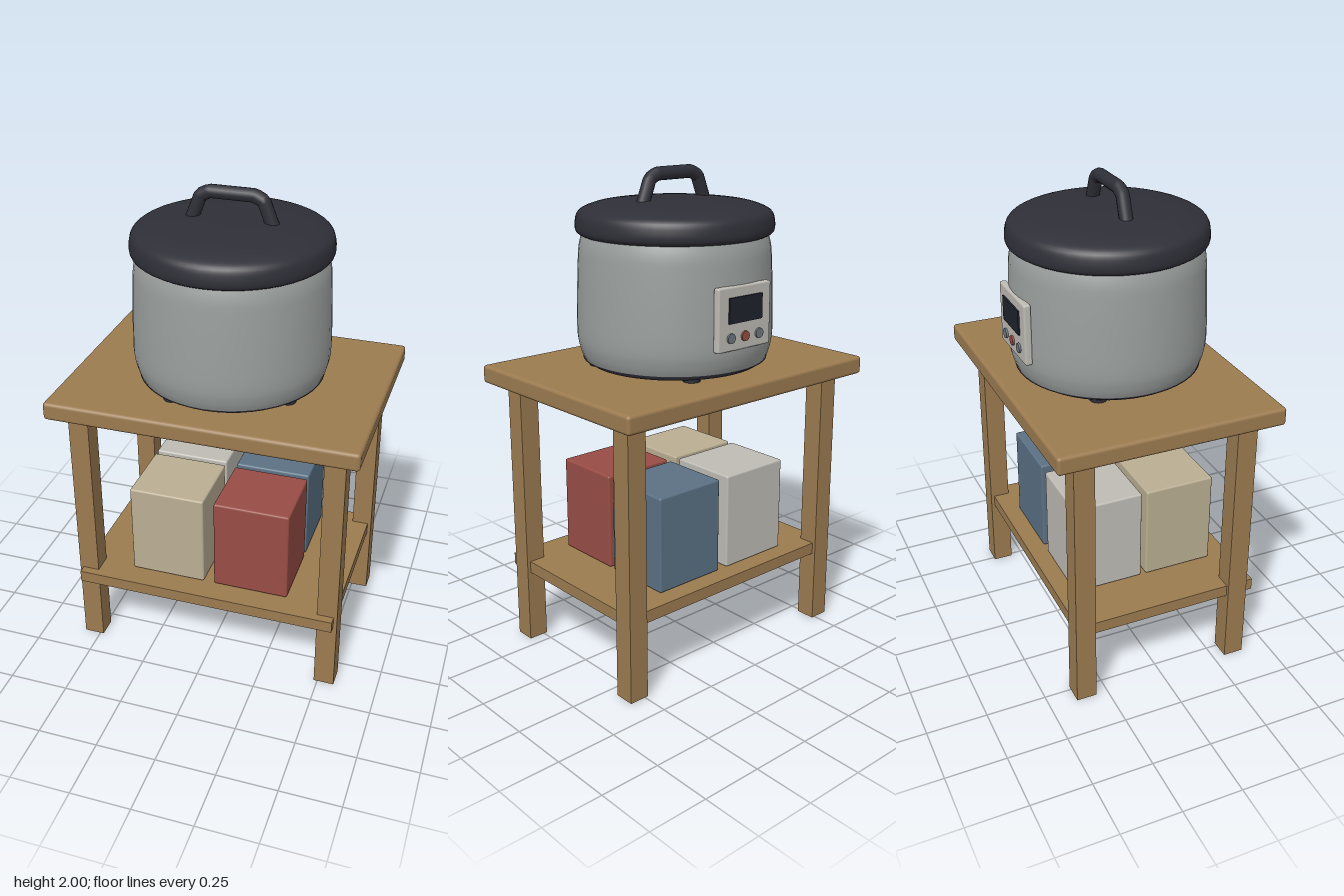
import * as THREE from 'three';
import { RoundedBoxGeometry } from 'three/addons/geometries/RoundedBoxGeometry.js';

const mat = (name, color, side = THREE.FrontSide) => {
  const m = new THREE.MeshStandardMaterial({ color, side });
  m.name = name;
  return m;
};

export function createModel() {
  const wood = mat('wood', 0x9c7b50);
  const steel = mat('steel', 0x9a9f9d);
  const dark = mat('dark plastic', 0x2f2f38);
  const beige = mat('beige', 0xbaae93);
  const red = mat('red', 0x984d45);
  const blue = mat('blue', 0x5b7184);
  const white = mat('off white', 0xbfbcb5);
  const screenMat = mat('screen', 0x20222c);
  const buttonMat = mat('button grey', 0x6d7880);

  const model = new THREE.Group();
  model.name = 'cookerOnTable';
  const add = (parent, name, geometry, material, x = 0, y = 0, z = 0) => {
    const mesh = new THREE.Mesh(geometry, material);
    mesh.name = name;
    mesh.position.set(x, y, z);
    parent.add(mesh);
    return mesh;
  };
  const group = (name) => {
    const g = new THREE.Group();
    g.name = name;
    model.add(g);
    return g;
  };

  // Table: rounded top, four square legs, shelf running through the legs
  const table = group('table');
  add(table, 'tableTop', new RoundedBoxGeometry(1.27, 0.075, 0.94, 2, 0.014), wood, 0, 1.17, 0);
  for (const sx of [-1, 1]) for (const sz of [-1, 1])
    add(table, 'leg', new THREE.BoxGeometry(0.085, 1.14, 0.085), wood, sx * 0.5275, 0.57, sz * 0.3425);
  add(table, 'shelf', new THREE.BoxGeometry(1.11, 0.05, 0.79), wood, 0, 0.336, 0.025);

  // Four storage boxes on the shelf
  const boxes = group('storageBoxes');
  const crates = [
    ['beigeBox', beige, -0.185, 0.175], ['redBox', red, 0.18, 0.175],
    ['whiteBox', white, -0.185, -0.147], ['blueBox', blue, 0.18, -0.147],
  ];
  for (const [name, m, x, z] of crates)
    add(boxes, name, new RoundedBoxGeometry(0.32, 0.405, 0.3, 2, 0.008), m, x, 0.566, z);

  // Cooker: lathed base, body and lid with smooth normals
  const cooker = group('cooker');
  const lathe = (points) => {
    const curve = new THREE.SplineCurve(points.map(([r, y]) => new THREE.Vector2(r, y)));
    return new THREE.LatheGeometry(curve.getPoints(points.length * 4), 48);
  };
  const straight = (points) => new THREE.LatheGeometry(points.map(([r, y]) => new THREE.Vector2(r, y)), 48);
  add(cooker, 'base', straight([[0, 1.213], [0.3, 1.213], [0.35, 1.219], [0.378, 1.237], [0.36, 1.25]]), dark);
  add(cooker, 'body', lathe([[0.372, 1.235], [0.388, 1.275], [0.399, 1.34], [0.397, 1.48],
    [0.39, 1.64], [0.384, 1.7], [0.37, 1.75]]), steel);
  add(cooker, 'lidUnderside', straight([[0, 1.738], [0.38, 1.738]]), dark);
  add(cooker, 'lid', lathe([[0.38, 1.738], [0.397, 1.752], [0.399, 1.785], [0.386, 1.825],
    [0.34, 1.848], [0.28, 1.861], [0.15, 1.874], [0, 1.877]]), dark);
  for (let i = 0; i < 4; i++) {
    const a = Math.PI / 6 + i * Math.PI / 2;
    add(cooker, 'foot', new THREE.CylinderGeometry(0.035, 0.035, 0.015, 16), dark,
      0.32 * Math.cos(a), 1.2145, 0.32 * Math.sin(a));
  }

  // Angular carrying handle
  const path = new THREE.CurvePath();
  const pts = [[-0.162, 1.86], [-0.125, 1.955], [-0.09, 1.973], [0.09, 1.973], [0.125, 1.955], [0.162, 1.86]]
    .map(([x, y]) => new THREE.Vector3(x, y, 0.006));
  for (let i = 1; i < pts.length; i++) path.add(new THREE.LineCurve3(pts[i - 1], pts[i]));
  add(cooker, 'handle', new THREE.TubeGeometry(path, 48, 0.027, 12), dark);

  // Control panel on the back with a display and three buttons
  const panel = group('controlPanel');
  add(panel, 'panelPlate', new RoundedBoxGeometry(0.28, 0.25, 0.03, 2, 0.008), white, 0, 1.458, -0.388);
  add(panel, 'display', new THREE.BoxGeometry(0.175, 0.1, 0.008), screenMat, 0, 1.492, -0.406);
  [buttonMat, red, buttonMat].forEach((m, i) => {
    const button = add(panel, 'button', new THREE.CylinderGeometry(0.02, 0.02, 0.01, 20), m,
      (1 - i) * 0.075, 1.385, -0.406);
    button.rotation.x = Math.PI / 2;
  });
  return model;
}
